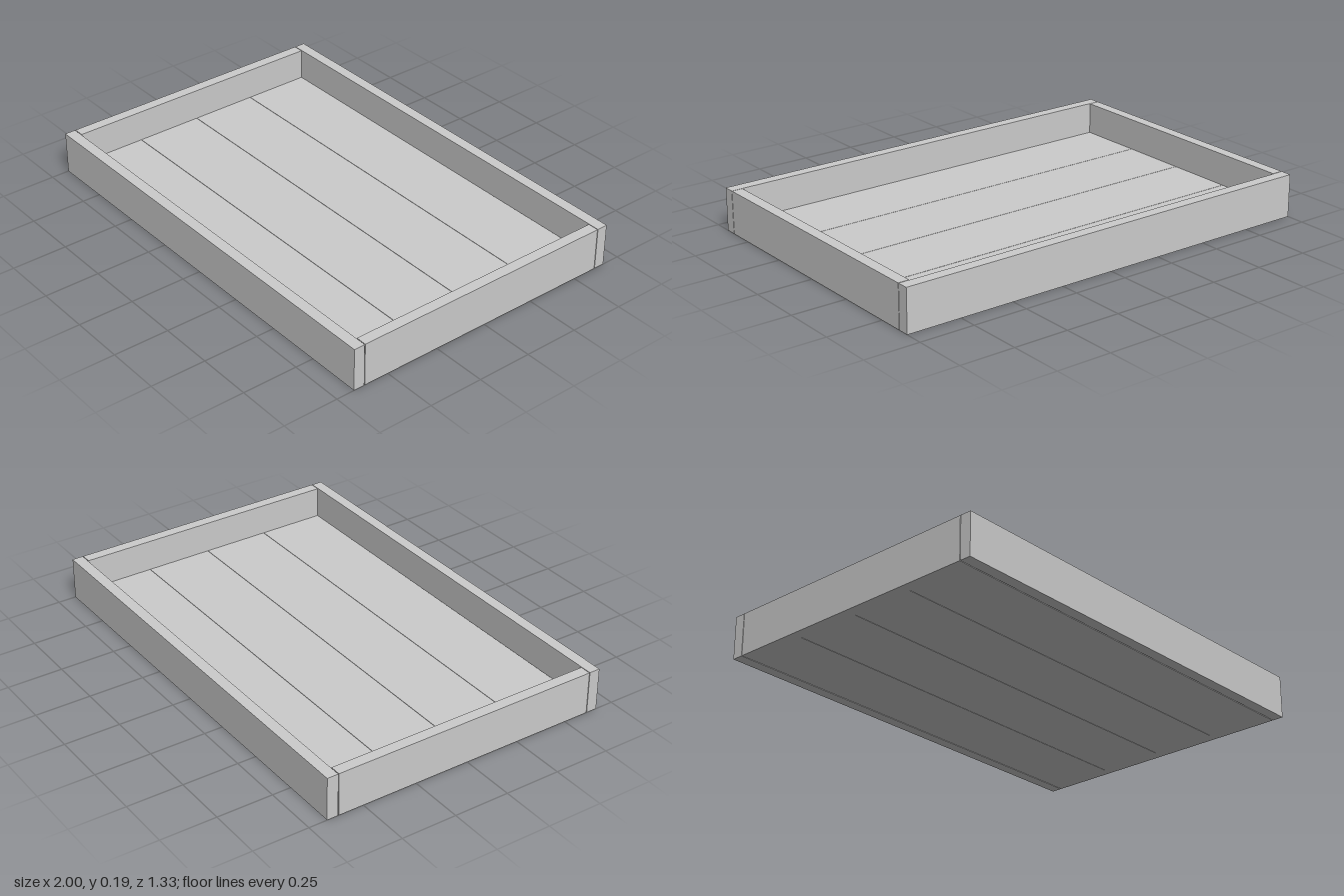
import * as THREE from 'three';

export function createModel() {
  const model = new THREE.Group();
  model.name = 'tray';
  const material = new THREE.MeshStandardMaterial({ color: 0xcccccc, flatShading: true });

  const W = 2, D = 1.334, H = 0.193; // overall size
  const T = 0.05;                    // board thickness
  const GAP = 0.003;                 // thin joint between boards

  function board(name, w, h, d, x, y, z) {
    const mesh = new THREE.Mesh(new THREE.BoxGeometry(w, h, d), material);
    mesh.name = name;
    mesh.position.set(x, y, z);
    model.add(mesh);
  }

  // Long front and back boards, full width
  board('frontBoard', W, H, T, 0, H / 2, D / 2 - T / 2);
  board('backBoard', W, H, T, 0, H / 2, -D / 2 + T / 2);

  // Side boards fitted between them
  const inner = D - 2 * T - 2 * GAP;
  board('leftBoard', T, H, inner, W / 2 - T / 2, H / 2, 0);
  board('rightBoard', T, H, inner, -W / 2 + T / 2, H / 2, 0);

  // Four floor planks inside the frame
  const count = 4, pitch = inner / count;
  for (let i = 0; i < count; i++) {
    board('floorPlank' + (i + 1), W - 2 * T, T, pitch - 0.002,
      0, T / 2, (i - (count - 1) / 2) * pitch);
  }
  return model;
}
